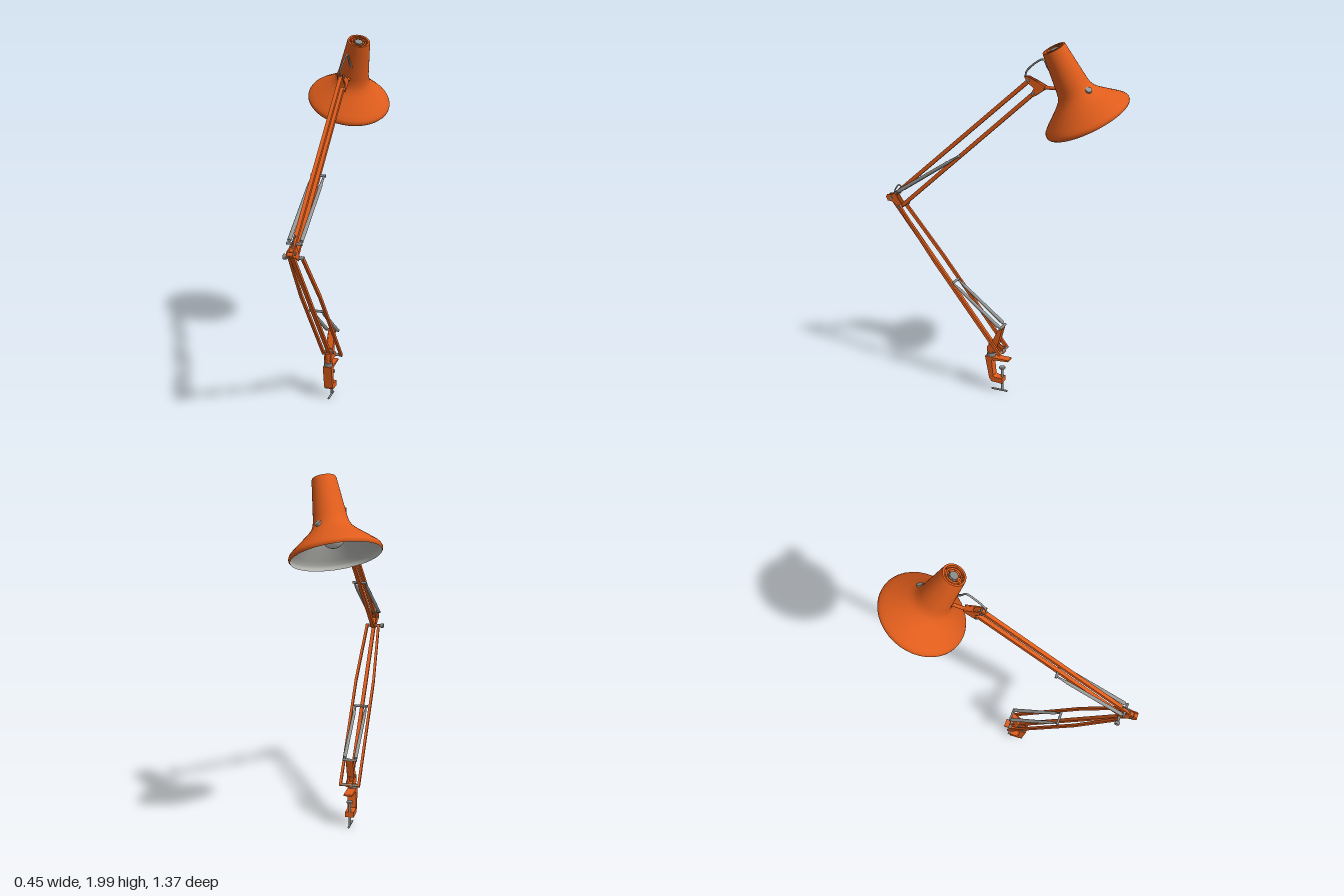
import * as THREE from 'three';

const mat = (name, color) => new THREE.MeshStandardMaterial({ name, color, side: THREE.DoubleSide });
const V = (x, y, z) => new THREE.Vector3(x, y, z);
const CX = 0.04; // centre plane of the arm

export function createModel() {
  const orange = mat('orange paint', 0xe05d1c);
  const steel = mat('steel', 0x8a8b88);
  const spring = mat('spring steel', 0x969794);
  const liner = mat('shade lining', 0xbcbcb8);
  const glass = mat('bulb glass', 0xc6c6c2);

  const root = new THREE.Group();
  root.name = 'deskLamp';

  function add(name, geometry, material, parent = root) {
    const mesh = new THREE.Mesh(geometry, material);
    mesh.name = name;
    parent.add(mesh);
    return mesh;
  }
  // square bar between two points
  function bar(name, a, b, w, h) {
    const m = add(name, new THREE.BoxGeometry(w, h, a.distanceTo(b)), orange);
    m.position.copy(a).lerp(b, 0.5);
    m.lookAt(b);
    return m;
  }
  // round rod between two points
  function rod(name, a, b, r, material = steel, r2 = r) {
    const m = add(name, new THREE.CylinderGeometry(r2, r, a.distanceTo(b), 14), material);
    m.position.copy(a).lerp(b, 0.5);
    m.quaternion.setFromUnitVectors(V(0, 1, 0), b.clone().sub(a).normalize());
    return m;
  }
  // cross pin along x
  const pin = (name, y, z, half, r, material = steel) =>
    rod(name, V(CX - half, y, z), V(CX + half, y, z), r, material);
  // flat side plate given by [z, y] corners, extruded along x
  function plate(name, pts, w, x = CX) {
    const shape = new THREE.Shape(pts.map(p => new THREE.Vector2(p[0], p[1])));
    const m = add(name, new THREE.ExtrudeGeometry(shape, { depth: w, bevelEnabled: false }), orange);
    m.rotation.y = -Math.PI / 2;
    m.position.x = x + w / 2;
    return m;
  }
  function wire(name, pts, r) {
    const curve = new THREE.CatmullRomCurve3(pts, false, 'centripetal');
    return add(name, new THREE.TubeGeometry(curve, 32, r, 8), spring);
  }
  // pair of springs with thin hooked ends, held on two cross pins
  function springPair(name, y0, z0, y1, z1) {
    for (const s of [-1, 1]) {
      const a = V(CX + s * 0.031, y0, z0), b = V(CX + s * 0.031, y1, z1);
      const at = t => a.clone().lerp(b, t);
      rod(name + 'Coil', at(0.04), at(0.84), 0.0105, spring, 0.009);
      rod(name + 'Taper', at(0.84), at(0.94), 0.009, spring, 0.005);
      rod(name + 'Hook', a, b, 0.005, spring);
    }
    pin(name + 'LowerPin', y0, z0, 0.04, 0.007);
    pin(name + 'UpperPin', y1, z1, 0.04, 0.007);
  }

  // --- table clamp
  plate('clampBody', [[0.075, 0.215], [-0.065, 0.212], [-0.065, 0.203], [0.035, 0.197], [0.026, 0.1],
    [0.015, 0.094], [-0.028, 0.094], [-0.028, 0.062], [0.036, 0.066], [0.05, 0.085]], 0.049);
  rod('clampScrew', V(CX, 0.01, -0.02), V(CX, 0.15, -0.02), 0.007);
  rod('clampPad', V(CX, 0.146, -0.02), V(CX, 0.155, -0.02), 0.018);
  rod('clampHandle', V(CX, 0.01, 0.045), V(CX, 0.01, -0.05), 0.0055);
  rod('swivelPost', V(CX, 0.2, 0.047), V(CX, 0.29, 0.047), 0.017, orange);
  rod('swivelCollar', V(CX, 0.214, 0.047), V(CX, 0.235, 0.047), 0.024);

  // --- base bracket
  for (const s of [-1, 1]) {
    plate('baseBracket', [[0.065, 0.245], [-0.035, 0.245], [-0.03, 0.27], [0.002, 0.285],
      [-0.03, 0.4], [-0.016, 0.41], [0.04, 0.3], [0.065, 0.275]], 0.006, CX + s * 0.017);
  }
  plate('springLever', [[0, 0.292], [-0.028, 0.4], [-0.017, 0.408], [0.03, 0.312]], 0.03);
  bar('baseBracketFloor', V(CX, 0.25, 0.065), V(CX, 0.25, -0.035), 0.034, 0.008);
  pin('basePivot', 0.255, -0.024, 0.058, 0.009);
  pin('baseRearPivot', 0.29, 0.032, 0.026, 0.009);

  // --- lower arm: one centre bar and an outer pair that narrows upward
  bar('lowerCentreBar', V(CX, 0.285, 0.034), V(CX, 1.07, 0.654), 0.02, 0.017);
  for (const s of [-1, 1]) {
    const bend = V(CX + s * 0.052, 0.75, 0.366);
    bar('lowerOuterBar', V(CX + s * 0.052, 0.25, -0.029), bend, 0.014, 0.017);
    bar('lowerOuterBarTop', bend, V(CX + s * 0.034, 1.035, 0.59), 0.014, 0.017);
  }
  springPair('lowerSpring', 0.402, -0.022, 0.628, 0.266);

  // --- elbow
  for (const s of [-1, 1]) {
    plate('elbowPlate', [[0.682, 1.075], [0.672, 1.055], [0.645, 1.052], [0.597, 1.018], [0.575, 1.03],
      [0.6, 1.065], [0.625, 1.105], [0.645, 1.093], [0.675, 1.09]], 0.006, CX + s * 0.015);
  }
  pin('elbowEndWeb', 1.073, 0.67, 0.015, 0.011, orange);
  pin('elbowUpperPivot', 1.073, 0.65, 0.021, 0.009);
  pin('elbowLowerPivot', 1.032, 0.59, 0.043, 0.008);
  rod('elbowKnob', V(CX - 0.064, 1.032, 0.59), V(CX - 0.047, 1.032, 0.59), 0.014);
  wire('elbowCable', [V(CX, 1.085, 0.645), V(CX, 1.13, 0.625), V(CX, 1.148, 0.605),
    V(CX, 1.135, 0.59), V(CX, 1.1, 0.6)], 0.004);

  // --- upper arm: two parallel bars
  bar('upperTopBar', V(CX, 1.075, 0.65), V(CX, 1.795, -0.175), 0.02, 0.021);
  bar('upperBottomBar', V(CX, 1.028, 0.592), V(CX, 1.73, -0.2), 0.02, 0.021);
  springPair('upperSpring', 1.11, 0.61, 1.355, 0.228);

  // --- head bracket
  for (const s of [-1, 1]) {
    plate('headBracket', [[-0.148, 1.81], [-0.165, 1.782], [-0.2, 1.755], [-0.185, 1.72], [-0.2, 1.71],
      [-0.255, 1.748], [-0.262, 1.768], [-0.21, 1.793], [-0.165, 1.812]], 0.006, CX + s * 0.014);
  }
  bar('headBracketWeb', V(CX, 1.786, -0.212), V(CX, 1.764, -0.259), 0.028, 0.006);
  pin('headTopPivot', 1.793, -0.17, 0.02, 0.008);
  pin('headBottomPivot', 1.728, -0.197, 0.02, 0.008);
  rod('headJoint', V(CX, 1.758, -0.24), V(CX, 1.762, -0.345), 0.009, orange);
  wire('headCable', [V(CX, 1.8, -0.148), V(CX + 0.002, 1.835, -0.155), V(CX + 0.01, 1.895, -0.225),
    V(CX + 0.012, 1.903, -0.25), V(CX + 0.016, 1.865, -0.275), V(CX + 0.024, 1.82, -0.31)], 0.005);

  // --- shade, built upright from the rim and then tilted
  const head = new THREE.Group();
  head.name = 'shade';
  head.position.set(-0.003, 1.61, -0.476);
  head.quaternion.setFromUnitVectors(V(0, 1, 0), V(0.099, 0.36, 0.156).normalize());
  root.add(head);
  const lathe = (name, pts, material) =>
    add(name, new THREE.LatheGeometry(pts.map(p => new THREE.Vector2(p[0], p[1])), 40), material, head);

  lathe('shadeShell', [[0.225, 0], [0.231, 0.008], [0.231, 0.018], [0.225, 0.03], [0.205, 0.049],
    [0.165, 0.083], [0.125, 0.118], [0.102, 0.143], [0.09, 0.168], [0.084, 0.2], [0.075, 0.28],
    [0.066, 0.36], [0.062, 0.398], [0.06, 0.404]], orange);
  lathe('shadeLining', [[0, 0.2], [0.08, 0.195], [0.084, 0.165], [0.097, 0.138], [0.12, 0.113],
    [0.16, 0.077], [0.2, 0.043], [0.219, 0.026], [0.224, 0.014], [0.225, 0]], liner);

  // recessed vent on top
  lathe('ventRim', [[0.06, 0.404], [0.05, 0.404]], orange);
  lathe('ventWall', [[0.05, 0.404], [0.05, 0.375]], orange);
  lathe('ventFloor', [[0.05, 0.375], [0, 0.375]], orange);
  const ring = add('ventRing', new THREE.TorusGeometry(0.037, 0.005, 8, 28), orange, head);
  ring.rotation.x = Math.PI / 2;
  ring.position.y = 0.398;
  for (let i = 0; i < 3; i++) {
    const spoke = add('ventSpoke', new THREE.BoxGeometry(0.104, 0.006, 0.007), orange, head);
    spoke.position.y = 0.392;
    spoke.rotation.y = i * Math.PI / 3;
  }
  const cap = add('ventCap', new THREE.CylinderGeometry(0.022, 0.025, 0.026, 20), steel, head);
  cap.position.y = 0.388;

  // bulb and socket
  const bulb = add('bulb', new THREE.SphereGeometry(0.06, 28, 18), glass, head);
  bulb.position.y = 0.105;
  const socket = add('bulbSocket', new THREE.CylinderGeometry(0.03, 0.036, 0.06, 20), steel, head);
  socket.position.y = 0.175;

  // switch button, nearly flush on the slope at the foot of the neck
  rod('switchButton', V(0.073, 1.763, -0.496), V(0.082, 1.777, -0.503), 0.017, spring);

  return root;
}
